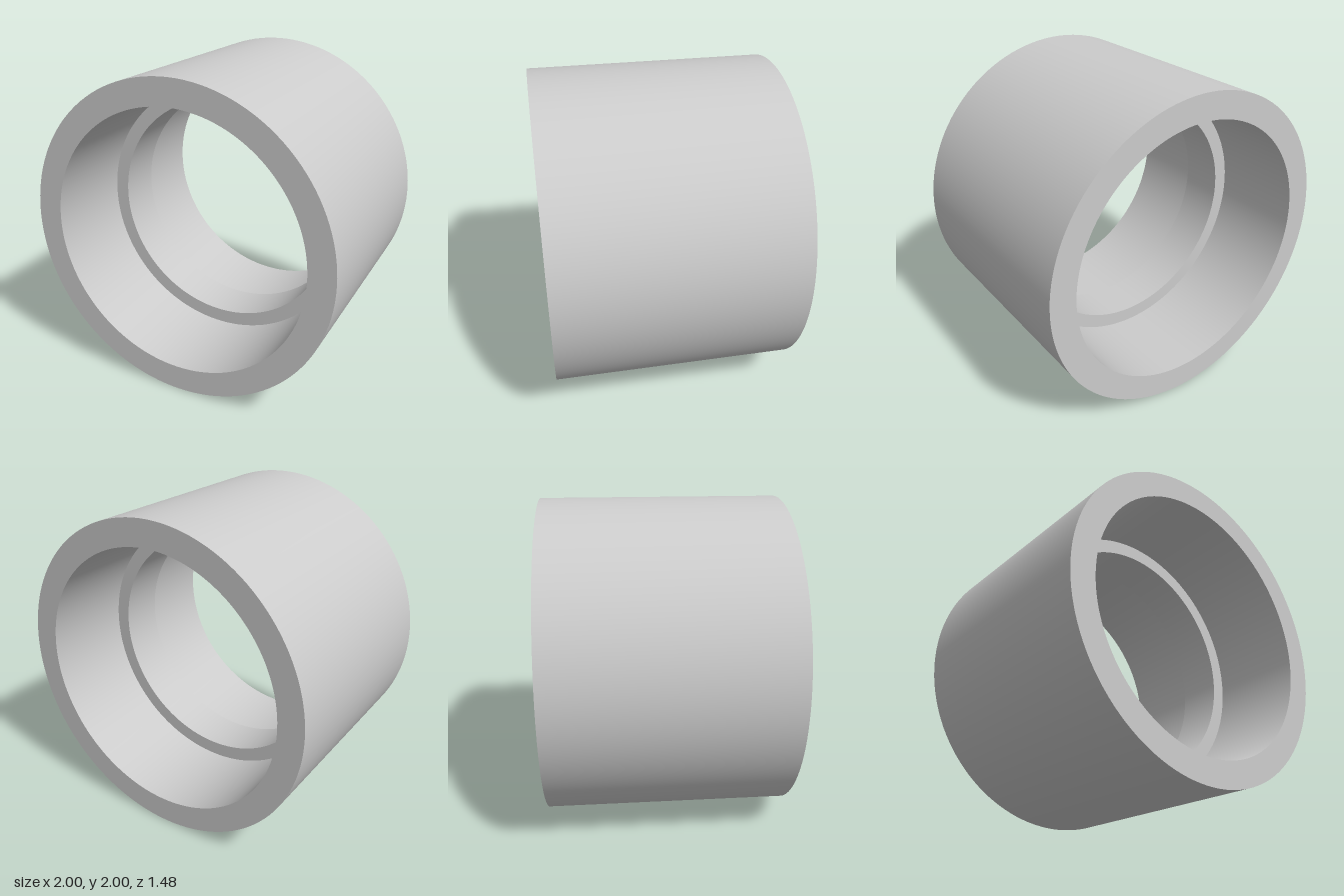
import * as THREE from 'three';
import { toCreasedNormals } from 'three/addons/utils/BufferGeometryUtils.js';

export function createModel() {
  const group = new THREE.Group();
  group.name = 'pipeCoupling';

  const outerRadius = 1, socketRadius = 0.835, stopRadius = 0.742;
  const halfLength = 0.742, halfStop = 0.145;

  // Closed wall section: outer wall, end rims, two sockets and the central stop ridge
  const section = [
    [outerRadius, -halfLength],
    [outerRadius, halfLength],
    [socketRadius, halfLength],
    [socketRadius, halfStop],
    [stopRadius, halfStop],
    [stopRadius, -halfStop],
    [socketRadius, -halfStop],
    [socketRadius, -halfLength],
    [outerRadius, -halfLength],
  ].map(([r, y]) => new THREE.Vector2(r, y));

  // Revolve, then lay the axis along z and rest the ring on the ground
  const lathe = new THREE.LatheGeometry(section, 128);
  lathe.rotateX(Math.PI / 2);
  lathe.translate(0, outerRadius, 0);

  const sleeve = new THREE.Mesh(
    toCreasedNormals(lathe, 0.5),
    new THREE.MeshStandardMaterial({ color: 0xcccccc })
  );
  sleeve.name = 'sleeveWithStopRidge';
  group.add(sleeve);
  return group;
}
